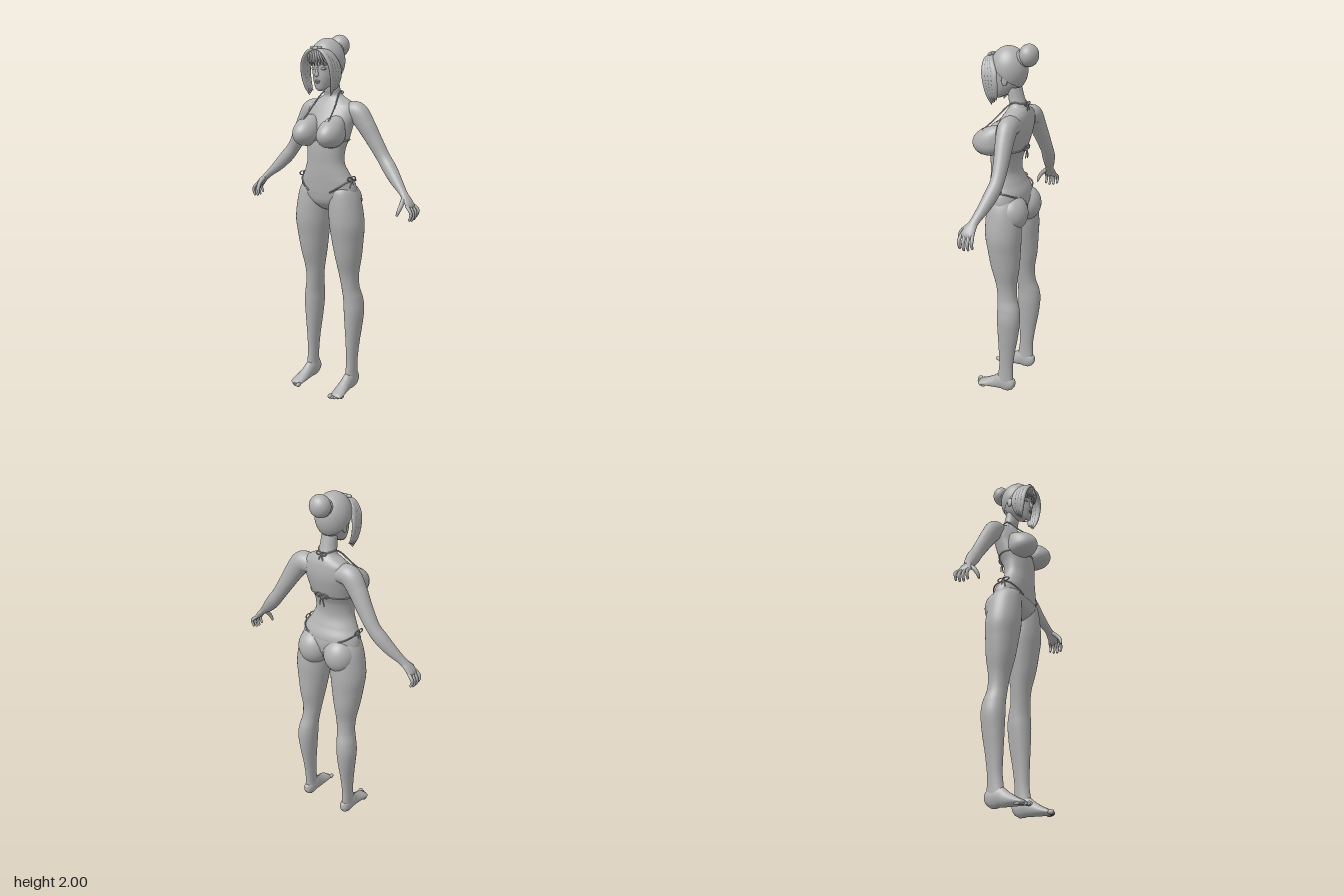
import * as THREE from 'three';
import { ParametricGeometry } from 'three/addons/geometries/ParametricGeometry.js';

const V = (x, y, z) => new THREE.Vector3(x, y, z);
const X = V(1, 0, 0), Z = V(0, 0, 1);

// Smooth interpolation through a short list of rows, t in 0..1
function sample(rows, t) {
  const n = rows.length - 1, i = Math.min(Math.floor(t * n), n - 1), f = t * n - i;
  const [a, b, c, d] = [i - 1, i, i + 1, i + 2].map(k => rows[Math.max(0, Math.min(n, k))]);
  return b.map((_, k) => b[k] + 0.5 * f * (c[k] - a[k] +
    f * (2 * a[k] - 5 * b[k] + 4 * c[k] - d[k] + f * (3 * (b[k] - c[k]) + d[k] - a[k]))));
}

// Upright body from rows of [y, xMin, xMax, zFront, zBack]; angle 0 faces the front
function ringPoint(rows, t, a, grow, out) {
  const [y, x0, x1, zf, zb] = sample(rows, t);
  return out.set((x0 + x1) / 2 + (x1 - x0) / 2 * grow * Math.sin(a), y,
    (zf + zb) / 2 + (zf - zb) / 2 * grow * Math.cos(a));
}
const loft = (rows, nu = 48, nv = 90) => new ParametricGeometry(
  (u, v, out) => ringPoint(rows, v, u * Math.PI * 2, 1, out), nu, nv);

// Tapering limb from rows of [x, y, z, radiusAcross, radiusAlongRef]
function limb(rows, ref = Z, nu = 16, nv = 24) {
  return new ParametricGeometry((u, v, out) => {
    const [x, y, z, rn, rb] = sample(rows, v);
    const p = sample(rows, Math.max(0, v - 0.01)), q = sample(rows, Math.min(1, v + 0.01));
    const T = V(q[0] - p[0], q[1] - p[1], q[2] - p[2]).normalize();
    const N = T.clone().cross(ref).normalize(), B = T.clone().cross(N);
    const a = u * Math.PI * 2;
    out.set(x, y, z).addScaledVector(N, rn * Math.cos(a)).addScaledVector(B, rb * Math.sin(a));
  }, nu, nv);
}

const ball = (x, y, z, rx, ry, rz) =>
  new THREE.SphereGeometry(1, 32, 24).scale(rx, ry, rz).translate(x, y, z);
const string = (pts, r = 0.004, closed = false) => new THREE.TubeGeometry(
  new THREE.CatmullRomCurve3(pts.map(p => V(...p)), closed), pts.length * 8, r, 6, closed);

function mirrored(geo) {
  const g = geo.clone().scale(-1, 1, 1), ix = g.index.array;
  for (let i = 0; i < ix.length; i += 3) [ix[i], ix[i + 1]] = [ix[i + 1], ix[i]];
  return g;
}

const half = (y, w, f, b) => [y, -w, w, f, b];
const torso = [
  half(1.06, 0.02, 0.0, -0.04), half(1.075, 0.06, 0.03, -0.06), half(1.11, 0.13, 0.062, -0.1),
  half(1.16, 0.172, 0.075, -0.115), half(1.22, 0.167, 0.082, -0.108), half(1.27, 0.14, 0.086, -0.085),
  half(1.33, 0.114, 0.088, -0.064), half(1.4, 0.114, 0.09, -0.072), half(1.46, 0.128, 0.085, -0.098),
  half(1.53, 0.14, 0.065, -0.118), half(1.58, 0.15, 0.042, -0.125), half(1.63, 0.142, 0.015, -0.122),
  half(1.66, 0.1, -0.003, -0.114), half(1.685, 0.055, -0.012, -0.1), half(1.72, 0.045, -0.003, -0.087),
  half(1.78, 0.042, 0.0, -0.07)];

const leg = [
  [1.21, 0.06, 0.14, 0.02, -0.06], [1.19, 0.035, 0.168, 0.06, -0.09], [1.12, 0.018, 0.194, 0.073, -0.115],
  [1.0, 0.018, 0.213, 0.075, -0.125], [0.9, 0.03, 0.205, 0.06, -0.122], [0.8, 0.046, 0.192, 0.042, -0.118],
  [0.7, 0.063, 0.175, 0.015, -0.105], [0.62, 0.076, 0.173, 0.004, -0.11], [0.55, 0.083, 0.187, 0, -0.13],
  [0.48, 0.086, 0.194, 0, -0.135], [0.38, 0.095, 0.185, -0.003, -0.125], [0.28, 0.105, 0.174, -0.007, -0.108],
  [0.18, 0.111, 0.167, -0.01, -0.095], [0.12, 0.112, 0.166, -0.004, -0.094], [0.06, 0.11, 0.167, 0.005, -0.097],
  [0.02, 0.115, 0.162, 0, -0.09]].reverse();

const head = [
  half(1.712, 0.008, 0.068, 0.05), half(1.722, 0.026, 0.08, 0.03), half(1.745, 0.044, 0.086, -0.02),
  half(1.78, 0.06, 0.09, -0.06), half(1.82, 0.069, 0.089, -0.08), half(1.86, 0.073, 0.09, -0.085),
  half(1.9, 0.072, 0.088, -0.08), half(1.94, 0.055, 0.065, -0.06), half(1.965, 0.01, 0.01, -0.01)];

const arm = [
  [0.09, 1.6, -0.065, 0.05, 0.05], [0.15, 1.597, -0.068, 0.057, 0.052], [0.2, 1.535, -0.074, 0.051, 0.046],
  [0.25, 1.455, -0.083, 0.043, 0.04], [0.305, 1.37, -0.088, 0.037, 0.035], [0.35, 1.315, -0.08, 0.038, 0.036],
  [0.4, 1.26, -0.064, 0.032, 0.031], [0.45, 1.212, -0.045, 0.021, 0.024], [0.475, 1.187, -0.036, 0.018, 0.025]];

const foot = [
  [0.138, 0.04, -0.106, 0.004, 0.004], [0.138, 0.043, -0.098, 0.03, 0.02], [0.138, 0.05, -0.075, 0.049, 0.029],
  [0.138, 0.055, -0.03, 0.054, 0.031], [0.138, 0.042, 0.01, 0.041, 0.032], [0.14, 0.03, 0.05, 0.029, 0.035],
  [0.143, 0.02, 0.09, 0.019, 0.037], [0.143, 0.014, 0.115, 0.013, 0.034], [0.143, 0.012, 0.125, 0.002, 0.02]];

// Rounded bust form: the upper half is drawn out and slopes back to the chest
function bustForm(geo, grow) {
  const p = geo.attributes.position;
  for (let i = 0; i < p.count; i++) {
    const x = p.getX(i), y = p.getY(i), z = p.getZ(i), up = Math.max(0, y);
    p.setXYZ(i, 0.08 + x * 0.068 * grow, 1.485 + y * (y > 0 ? 0.1 : 0.067) * grow,
      0.075 + z * 0.09 * grow - 0.05 * up * up);
  }
  geo.computeVertexNormals();
  return geo;
}

// Depth of the hips' rear surface
function rearZ(x, y) {
  const s = 1 - ((Math.abs(x) - 0.085) / 0.09) ** 2 - ((y - 1.115) / 0.1) ** 2;
  const t = 1 - (x / 0.17) ** 2;
  const body = -0.015 - Math.min(0.093, 0.06 + (y - 1.06) * 0.5) * Math.sqrt(Math.max(0, t));
  return Math.min(body, s > 0 ? -0.06 - 0.09 * Math.sqrt(s) : 0) - 0.004;
}

export function createModel() {
  const group = new THREE.Group();
  const grey = new THREE.MeshStandardMaterial({ color: 0xb0b0b0, side: THREE.DoubleSide });
  grey.name = 'clay grey';
  const add = (name, geo) => {
    const m = new THREE.Mesh(geo, grey);
    m.name = name;
    group.add(m);
  };
  const pair = (name, geo) => { add(name + 'Left', geo); add(name + 'Right', mirrored(geo)); };

  // Body
  add('torso', loft(torso));
  pair('leg', loft(leg, 36, 90));
  pair('buttock', ball(0.085, 1.115, -0.06, 0.09, 0.1, 0.09));
  pair('bust', bustForm(new THREE.SphereGeometry(1, 40, 30), 1));
  pair('arm', limb(arm, Z, 28, 60));
  pair('foot', limb(foot, X, 28, 36));
  for (let i = 0; i < 5; i++) {
    const r = i ? 0.009 - i * 0.0006 : 0.013;
    pair('toe' + (i + 1), ball(0.115 + i * 0.0145, r, 0.128 - i * i * 0.0022, r * 0.9, r, 0.018));
  }

  // Hands
  pair('palm', limb([[0.46, 1.2, -0.04, 0.016, 0.022], [0.485, 1.178, -0.034, 0.016, 0.03],
    [0.508, 1.15, -0.027, 0.014, 0.037], [0.522, 1.13, -0.024, 0.004, 0.03]]));
  for (let i = 0; i < 4; i++) {
    const z = 0.003 - i * 0.019, d = [0.006, 0, 0.004, 0.016][i], s = z * 1.25 + 0.004;
    pair('finger' + (i + 1), limb([[0.505, 1.15, z, 0.009, 0.009], [0.53, 1.122 + d / 2, s, 0.009, 0.009],
      [0.536, 1.095 + d, s, 0.008, 0.008], [0.526, 1.07 + d, s, 0.006, 0.006], [0.525, 1.068 + d, s, 0.001, 0.001]],
    Z, 10, 14));
  }
  pair('thumb', limb([[0.475, 1.185, -0.02, 0.012, 0.012], [0.482, 1.155, 0.014, 0.012, 0.012],
    [0.478, 1.125, 0.033, 0.01, 0.01], [0.47, 1.1, 0.038, 0.006, 0.006], [0.469, 1.098, 0.038, 0.001, 0.001]], X, 10, 16));

  // Head and face
  add('head', loft(head, 40, 50));
  add('nose', limb([[0, 1.84, 0.086, 0.005, 0.006], [0, 1.81, 0.092, 0.008, 0.009],
    [0, 1.795, 0.093, 0.012, 0.011], [0, 1.788, 0.088, 0.003, 0.003]]));
  add('upperLip', ball(0, 1.766, 0.087, 0.018, 0.004, 0.007));
  add('lowerLip', ball(0, 1.758, 0.086, 0.015, 0.005, 0.007));
  pair('eye', ball(0.03, 1.828, 0.075, 0.016, 0.007, 0.011));
  pair('brow', string([[0.012, 1.848, 0.088], [0.03, 1.853, 0.083], [0.05, 1.846, 0.067]], 0.003));
  pair('ear', ball(0.075, 1.82, -0.012, 0.008, 0.028, 0.017));

  // Hair: swept cap, bun, knot, fringe and side locks
  add('hairCap', new THREE.SphereGeometry(1, 40, 28, 0, Math.PI * 2, 0, 1.75).rotateX(-0.6)
    .scale(0.092, 0.118, 0.1).translate(0, 1.865, -0.002));
  add('bun', ball(0, 1.942, -0.112, 0.056, 0.057, 0.05));
  add('bunBand', new THREE.TorusGeometry(0.036, 0.011, 10, 28).rotateX(0.6).translate(0, 1.925, -0.08));
  add('hairKnot', ball(0, 1.932, 0.098, 0.02, 0.012, 0.014));
  pair('knotLoop', ball(0.022, 1.936, 0.097, 0.016, 0.008, 0.01));
  for (let i = 0; i < 4; i++) {
    const k = i * 0.012;
    pair('sideLock' + (i + 1), limb([[0.006, 1.93, 0.1 - k * 0.3, 0.004, 0.006],
      [0.05 + k * 0.3, 1.912, 0.104 - k, 0.01, 0.014], [0.085 + k * 0.2, 1.86, 0.096 - k * 1.5, 0.01, 0.018],
      [0.094 + k * 0.2, 1.8, 0.085 - k * 1.5, 0.009, 0.017], [0.086, 1.74, 0.075 - k * 1.1, 0.008, 0.013],
      [0.07 - k * 0.2, 1.69 + k * 0.6, 0.064 - k * 0.6, 0.002, 0.002]], Z, 12, 30));
  }
  for (let i = 0; i < 4; i++) {
    const x = 0.008 + i * 0.015;
    pair('fringe' + (i + 1), limb([[x * 0.3, 1.932, 0.1, 0.004, 0.004], [x * 0.8, 1.9, 0.107 - i * 0.002, 0.008, 0.005],
      [x, 1.865, 0.103 - i * 0.006, 0.006, 0.004], [x * 1.1, 1.84 + (i % 2) * 0.012, 0.096 - i * 0.007, 0.001, 0.001]], Z, 8, 14));
  }

  // Swim top
  pair('cup', bustForm(new THREE.SphereGeometry(1, 28, 24, 0.6, Math.PI - 1.2, 0.75, 1.9), 1.03));
  pair('halterStrap', string([[0.084, 1.54, 0.125], [0.078, 1.59, 0.07], [0.07, 1.64, 0.022],
    [0.058, 1.685, -0.02], [0.05, 1.705, -0.05], [0.03, 1.7, -0.088], [0, 1.695, -0.104]]));
  const around = (t, n = 24) => Array.from({ length: n }, (_, i) =>
    ringPoint(torso, t, i / n * Math.PI * 2, 1.02, V(0, 0, 0)).toArray());
  add('chestBand', string(around(7.9 / 15), 0.004, true));

  // Swim bottom: front panel, rear panel and side strings
  add('frontPanel', new ParametricGeometry((u, v, out) => {
    const w = 0.06 + 0.36 * v * v;
    ringPoint(torso, (0.7 + 2.5 * v) / 15, (u * 2 - 1) * (v < 0.3 ? 0.28 : w + 0.19), 1.05, out);
  }, 20, 20));
  add('rearPanel', new ParametricGeometry((u, v, out) => {
    const x = (1 - u * 2) * (0.012 + 0.085 * v * v), y = 1.08 + 0.13 * v;
    out.set(x, y, rearZ(x, y));
  }, 24, 20));
  pair('hipString', string([[0.07, 1.175, 0.077], [0.11, 1.2, 0.066], [0.15, 1.232, 0.03], [0.158, 1.24, -0.01],
    [0.15, 1.237, -0.056], [0.125, 1.222, -0.085], [0.097, 1.21, rearZ(0.097, 1.21)]]));

  // Bows at the hips, back and nape
  const bow = (x, y, z, turn, s) => [
    new THREE.TorusGeometry(0.014 * s, 0.0035, 6, 16).scale(1.2, 0.7, 1).translate(0.015 * s, 0.006, 0),
    new THREE.TorusGeometry(0.014 * s, 0.0035, 6, 16).scale(1.2, 0.7, 1).translate(-0.015 * s, 0.006, 0),
    string([[0, 0, 0], [0.009, -0.02 * s, 0.003], [0.014, -0.045 * s, 0]], 0.0035),
    string([[0, 0, 0], [-0.009, -0.02 * s, 0.003], [-0.014, -0.04 * s, 0]], 0.0035),
  ].map(g => g.rotateY(turn).translate(x, y, z));
  bow(0.162, 1.245, 0.0, Math.PI / 2, 1.1).forEach((g, i) => pair('hipBow' + i, g));
  bow(0, 1.455, -0.104, Math.PI, 1.2).forEach((g, i) => add('backBow' + i, g));
  bow(0, 1.69, -0.108, Math.PI, 0.9).forEach((g, i) => add('napeBow' + i, g));
  return group;
}
